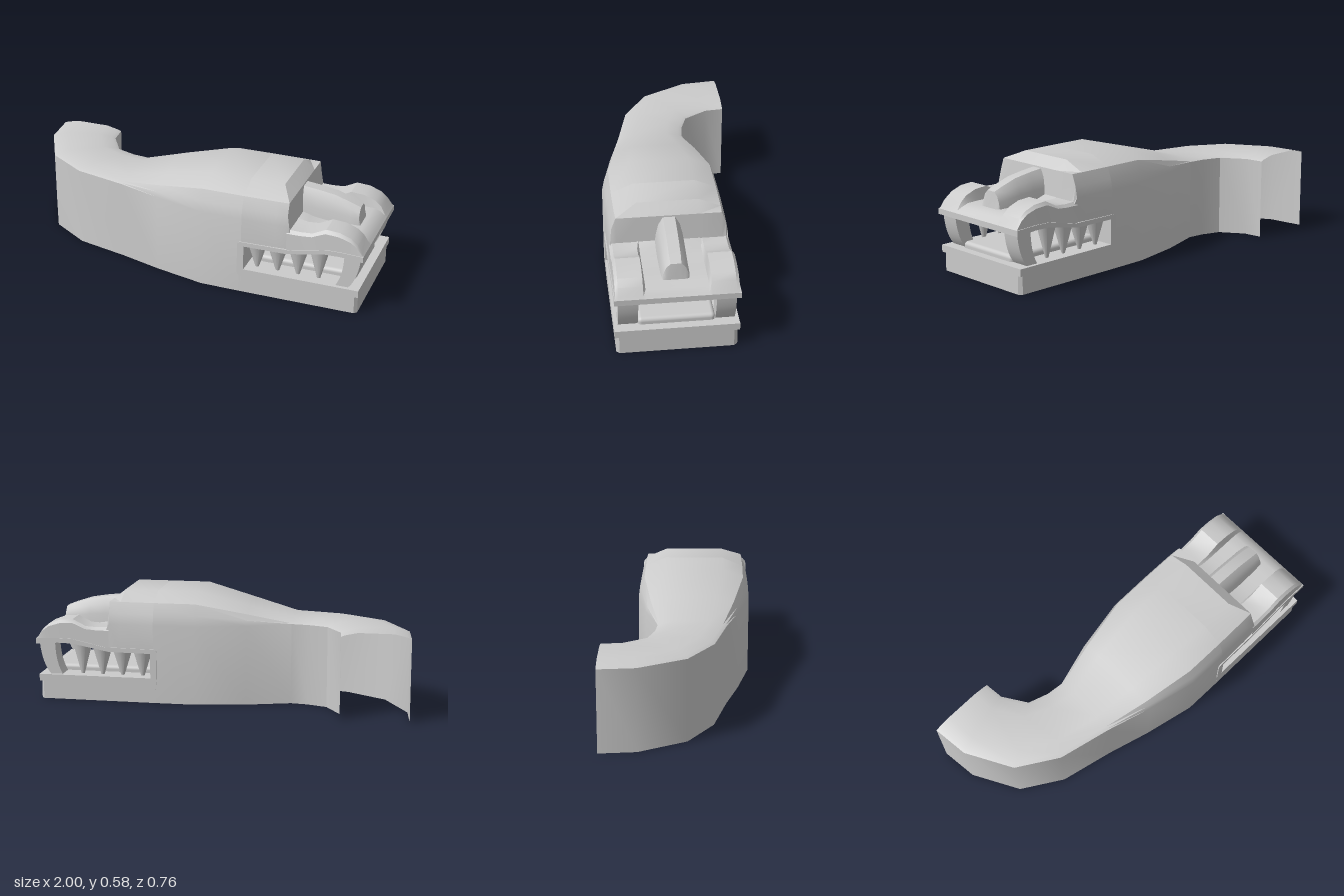
import * as THREE from 'three';
import { toCreasedNormals } from 'three/addons/utils/BufferGeometryUtils.js';
import { RoundedBoxGeometry } from 'three/addons/geometries/RoundedBoxGeometry.js';

const MID = 0.07; // z of the head's centre line
const grey = new THREE.MeshStandardMaterial({ color: 0xcccccc, side: THREE.DoubleSide });

function add(group, name, geometry) {
  const mesh = new THREE.Mesh(geometry, grey);
  mesh.name = name;
  group.add(mesh);
  return mesh;
}

// Skin over rows of points; rows run towards +x, points from +z over to -z
function loft(rows, crease = 0.5) {
  const n = rows[0].length, index = [];
  for (let i = 0; i < rows.length - 1; i++) {
    for (let j = 0; j < n - 1; j++) {
      const a = i * n + j, b = a + n;
      index.push(a, b, a + 1, b, b + 1, a + 1);
    }
  }
  const g = new THREE.BufferGeometry();
  g.setAttribute('position', new THREE.Float32BufferAttribute(rows.flat(2), 3));
  g.setIndex(index);
  return toCreasedNormals(g, crease);
}

// Side-view shape extruded across z, from z0 to z1
function slab(shape, z0, z1) {
  const g = new THREE.ExtrudeGeometry(shape, { depth: z1 - z0, bevelEnabled: false, curveSegments: 6 });
  return toCreasedNormals(g.translate(0, 0, z0), 0.5);
}

// Body section between an outer and an inner wall: [inset fraction, tail height, head height]
const PROFILE = [[0, 0.43, 0.42], [0.018, 0.433, 0.475], [0.055, 0.438, 0.535], [0.24, 0.453, 0.583]];
function bodyRow([ox, oz, ix, iz], bottom = 0, cap = 1) {
  const k = THREE.MathUtils.clamp((ox + 0.36) / 0.5, 0, 1);
  const half = [[0, bottom], ...PROFILE.map(([f, t, h]) => [f, Math.min(cap, t + (h - t) * k)])];
  const full = [...half, ...half.map(([f, y]) => [1 - f, y]).reverse()];
  return full.map(([f, y]) => [ox + (ix - ox) * f, y, oz + (iz - oz) * f]);
}

export function createModel() {
  const model = new THREE.Group();

  // Hollow neck and head, open below and at the tail end
  const stations = [
    [-1, -0.38, -0.645, -0.38], [-0.98, -0.19, -0.635, -0.28], [-0.85, 0.05, -0.555, -0.155],
    [-0.64, 0.18, -0.45, -0.12], [-0.36, 0.245, -0.36, -0.11], [-0.13, 0.31, -0.13, -0.18],
    [0.14, 0.37, 0.14, -0.23], [0.36, 0.372, 0.36, -0.232],
  ];
  add(model, 'neckAndHead', loft(stations.map((s) => bodyRow(s)), 0.6));

  // Brow above the mouth, closed at the front
  const brow = [[0.36, 0.372, 1], [0.54, 0.37, 1], [0.6, 0.367, 0.535], [0.615, 0.365, 0.39]];
  add(model, 'brow', loft(brow.map(([x, z, cap]) => bodyRow([x, z, x, 2 * MID - z], 0.28, cap)), 0.6));

  // Lower jaw walls, open below
  const walls = new THREE.Shape([
    [0.35, -0.372], [0.965, -0.37], [0.98, -0.355], [0.98, 0.21], [0.965, 0.228], [0.35, 0.232],
    [0.35, 0.222], [0.97, 0.218], [0.97, -0.36], [0.35, -0.362],
  ].map(([x, y]) => new THREE.Vector2(x, y)));
  const wallGeometry = new THREE.ExtrudeGeometry(walls, { depth: 0.105, bevelEnabled: false });
  add(model, 'lowerJaw', wallGeometry.rotateX(-Math.PI / 2));

  // Lips, palate, mouth floor and back of the mouth in one C-shaped band
  const lips = new THREE.Shape();
  lips.moveTo(0.985, 0.097);
  lips.lineTo(0.985, 0.135);
  lips.lineTo(0.375, 0.135);
  lips.lineTo(0.375, 0.268);
  lips.lineTo(0.6, 0.27);
  lips.lineTo(0.8, 0.308);
  lips.lineTo(0.88, 0.31);
  lips.lineTo(1, 0.3);
  lips.lineTo(1, 0.33);
  lips.lineTo(0.88, 0.335);
  lips.lineTo(0.8, 0.333);
  lips.lineTo(0.62, 0.294);
  lips.lineTo(0.36, 0.291);
  lips.quadraticCurveTo(0.34, 0.291, 0.34, 0.27);
  lips.lineTo(0.34, 0.118);
  lips.quadraticCurveTo(0.34, 0.097, 0.36, 0.097);
  add(model, 'lips', slab(lips, MID - 0.307, MID + 0.307));

  // Snout: a raised hump on each side of a flat middle [x, side bottom, hump top, middle]
  const snout = [
    [0.6, 0.285, 0.4, 0.405], [0.67, 0.3, 0.398, 0.385], [0.73, 0.31, 0.402, 0.376],
    [0.8, 0.32, 0.437, 0.374], [0.87, 0.32, 0.432, 0.374], [0.93, 0.32, 0.41, 0.372],
    [0.965, 0.32, 0.38, 0.36], [0.99, 0.32, 0.342, 0.34], [1, 0.31, 0.33, 0.33],
  ];
  add(model, 'snout', loft(snout.map(([x, low, top, mid]) => {
    const side = [[0.303, low], [0.3, low + (top - low) * 0.85], [0.285, top], [0.165, top], [0.153, mid]];
    return [...side.map(([w, y]) => [x, y, MID + w]), ...side.map(([w, y]) => [x, y, MID - w]).reverse()];
  })));

  // Nose ridge [x, top height, half width]
  const ridge = [
    [0.59, 0.528, 0.075], [0.68, 0.518, 0.074], [0.77, 0.504, 0.072],
    [0.86, 0.475, 0.071], [0.905, 0.457, 0.066], [0.915, 0.37, 0.06],
  ];
  add(model, 'noseRidge', loft(ridge.map(([x, top, w]) => {
    const side = [[1, 0], [0.9, 0.4], [0.72, 0.75], [0.4, 1]];
    const at = (s) => ([f, h]) => [x, 0.37 + (top - 0.37) * h, MID + s * f * w];
    return [...side.map(at(1)), ...side.map(at(-1)).reverse()];
  }), 0.7));

  // Tongue
  const tongue = add(model, 'tongue', new RoundedBoxGeometry(0.56, 0.06, 0.38, 3, 0.02));
  tongue.position.set(0.66, 0.138, MID);

  // Curved front fangs and hanging side teeth
  const fang = new THREE.Shape();
  fang.moveTo(0.985, 0.31);
  fang.quadraticCurveTo(0.975, 0.19, 0.925, 0.133);
  fang.lineTo(0.86, 0.133);
  fang.quadraticCurveTo(0.9, 0.2, 0.9, 0.315);
  for (const s of [1, -1]) {
    const inner = MID + s * 0.19, outer = MID + s * 0.287;
    add(model, 'frontFang', slab(fang, Math.min(inner, outer), Math.max(inner, outer)));
    [[0.43, 0.275], [0.54, 0.275], [0.65, 0.285], [0.76, 0.305]].forEach(([x, top]) => {
      const height = top - 0.13;
      const cone = new THREE.CylinderGeometry(0.054, 0.008, height, 12);
      const tooth = add(model, 'sideTooth', cone);
      tooth.scale.z = 0.8;
      tooth.position.set(x, top - height / 2, MID + s * 0.245);
    });
  }

  return model;
}
